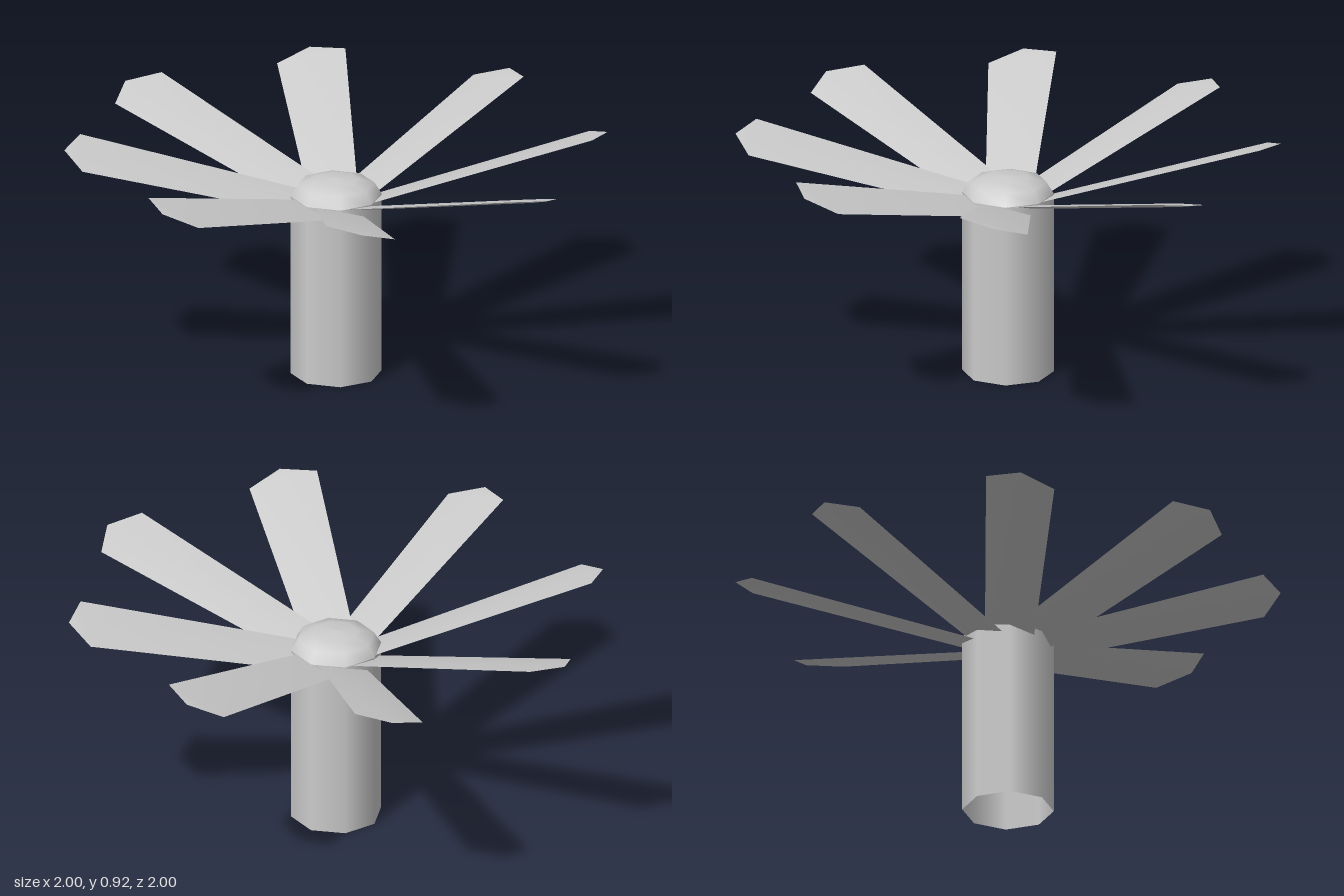
import * as THREE from 'three';
import { toCreasedNormals } from 'three/addons/utils/BufferGeometryUtils.js';

const material = new THREE.MeshStandardMaterial({ color: 0xcccccc, side: THREE.DoubleSide });

// Revolves a profile of [radius, height] pairs into an eight-sided part
function lathe(name, profile) {
  const points = profile.map(([r, y]) => new THREE.Vector2(r, y));
  const mesh = new THREE.Mesh(new THREE.LatheGeometry(points, 8), material);
  mesh.name = name;
  return mesh;
}

// Thin, slightly swollen blade pointing to +z, rolled so its -x edge is higher
function petalGeometry() {
  const rim = [
    [-0.09, 0.685, 0.12], [0.09, 0.65, 0.13],      // base corners
    [0.125, 0.86, 0.945], [0, 0.9, 1], [-0.125, 0.915, 0.93], // shoulder, tip, shoulder
  ];
  const spine = (lift) => [[0, 0.668 + lift, 0.125], [0, 0.888 + lift, 0.94]];
  const positions = [...rim, ...spine(0.006), ...spine(-0.008)].flat();

  const index = [];
  const side = (base, end, flip) => {
    const tris = [
      [0, base, end], [0, end, 4], [4, end, 3],
      [base, 1, 2], [base, 2, end], [end, 2, 3],
    ];
    // Winding (left, spine, spine end) faces down, so the top is reversed
    for (const [a, b, c] of tris) index.push(...(flip ? [a, c, b] : [a, b, c]));
  };
  side(5, 6, true);
  side(7, 8, false);
  index.push(0, 5, 7, 5, 1, 7); // closes the base

  const geometry = new THREE.BufferGeometry();
  geometry.setAttribute('position', new THREE.Float32BufferAttribute(positions, 3));
  // Reverse so that the upper skin faces up
  const outward = [];
  const v = (i) => new THREE.Vector3().fromArray(positions, i * 3);
  for (let i = 0; i < index.length; i += 3) {
    const [a, b, c] = index.slice(i, i + 3);
    const n = v(b).sub(v(a)).cross(v(c).sub(v(a)));
    const wantUp = i < 18 ? 1 : i < 36 ? -1 : 0;
    const keep = wantUp ? n.y * wantUp > 0 : n.z < 0;
    outward.push(...(keep ? [a, b, c] : [a, c, b]));
  }
  geometry.setIndex(outward);
  return toCreasedNormals(geometry, 0.8);
}

export function createModel() {
  const model = new THREE.Group();
  model.name = 'flower';

  // Hollow stem, open at the bottom
  model.add(lathe('stem', [[0.168, 0], [0.168, 0.69]]));

  // Domed flower centre
  model.add(lathe('flowerCentre', [[0.168, 0.69], [0.142, 0.733], [0.08, 0.752], [0, 0.758]]));

  // Ring of eight petals
  const petals = new THREE.Group();
  petals.name = 'petals';
  const geometry = petalGeometry();
  for (let i = 0; i < 8; i++) {
    const petal = new THREE.Mesh(geometry, material);
    petal.name = `petal${i + 1}`;
    petal.rotation.y = (i * Math.PI) / 4;
    petals.add(petal);
  }
  model.add(petals);
  return model;
}
